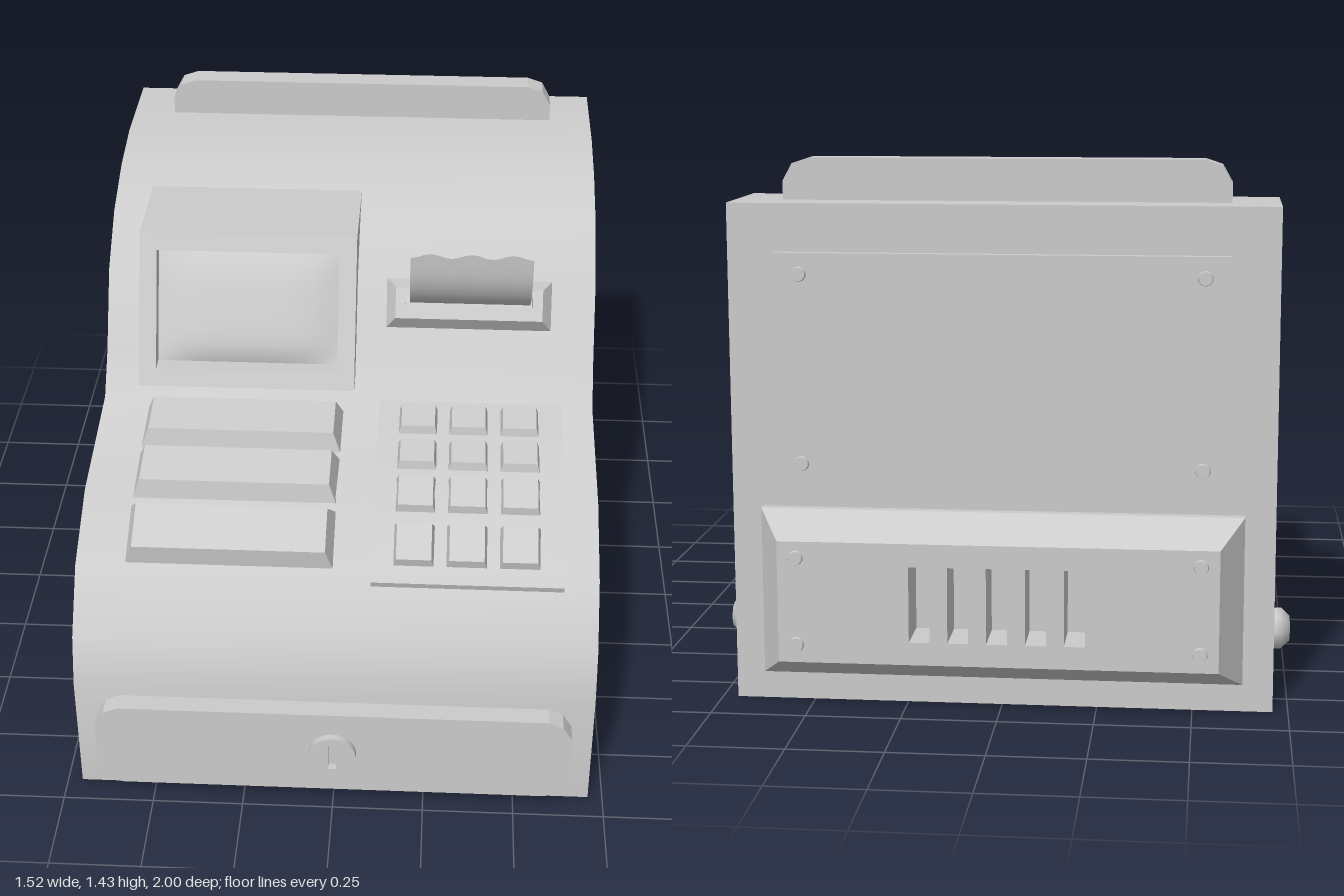
import * as THREE from 'three';
import { toCreasedNormals } from 'three/addons/utils/BufferGeometryUtils.js';

const grey = new THREE.MeshStandardMaterial({ color: 0xcccccc });
const sheet = new THREE.MeshStandardMaterial({ color: 0xcccccc, side: THREE.DoubleSide });

// Upper body outline as [z, y], front to back
const profile = [[0.925, 0], [0.925, 0.35], [0.888, 0.485], [0.77, 0.64], [0.56, 0.745], [0.17, 0.8],
  [0.08, 0.905], [-0.04, 1.11], [-0.19, 1.225], [-0.365, 1.29], [-0.545, 1.32], [-0.86, 1.32]];

function surfaceY(z) {
  const i = profile.findIndex((p, k) => k > 1 && p[0] <= z);
  const [z0, y0] = profile[i - 1], [z1, y1] = profile[i];
  return y0 + (y1 - y0) * (z - z0) / (z1 - z0);
}

function polygon(points) {
  return new THREE.Shape(points.map(([x, y]) => new THREE.Vector2(x, y)));
}

function rect(x0, y0, x1, y1) {
  return polygon([[x0, y0], [x1, y0], [x1, y1], [x0, y1]]);
}

function extrude(shape, depth) {
  return new THREE.ExtrudeGeometry(shape, { depth, bevelEnabled: false, curveSegments: 16 });
}

// Moves every vertex by a rule, then refreshes normals
function reshape(geometry, rule) {
  const p = geometry.attributes.position, v = new THREE.Vector3();
  for (let i = 0; i < p.count; i++) {
    rule(v.fromBufferAttribute(p, i));
    p.setXYZ(i, v.x, v.y, v.z);
  }
  geometry.computeVertexNormals();
  return geometry;
}

// Side outline in [z, y] swept across x
function sweepX(points, x0, x1) {
  const g = extrude(polygon(points), x1 - x0);
  return g.rotateY(-Math.PI / 2).translate(x1, 0, 0);
}

// Plate with holes whose outer edge narrows towards its face
function taperedPlate(w, h, depth, taper, holes) {
  const shape = rect(-w / 2, -h / 2, w / 2, h / 2);
  shape.holes.push(...holes);
  return reshape(extrude(shape, depth), v => {
    if (v.z > depth / 2 && Math.abs(v.x) > w / 2 - 0.001) {
      v.x -= Math.sign(v.x) * taper;
      v.y -= Math.sign(v.y) * taper;
    }
  });
}

export function createModel() {
  const model = new THREE.Group();
  model.name = 'cashRegister';
  const add = (name, geometry, parent = model, material = grey) => {
    const mesh = new THREE.Mesh(geometry, material);
    mesh.name = name;
    parent.add(mesh);
    return mesh;
  };

  // Body
  add('body', toCreasedNormals(sweepX([...profile, [-0.86, 0]], -0.71, 0.71), 0.9));

  // Top rail
  add('topRail', extrude(polygon([[-0.585, 1.31], [0.585, 1.31], [0.585, 1.37], [0.56, 1.415], [0.515, 1.43],
    [-0.515, 1.43], [-0.56, 1.415], [-0.585, 1.37]]), 0.072)).position.z = -0.75;

  // Drawer and lock
  add('drawer', extrude(polygon([[-0.585, 0.05], [0.585, 0.05], [0.625, 0.063], [0.65, 0.105], [0.65, 0.26],
    [0.625, 0.3], [0.585, 0.317], [-0.585, 0.317], [-0.625, 0.3], [-0.65, 0.26], [-0.65, 0.105],
    [-0.625, 0.063]]), 0.06)).position.z = 0.92;
  const lockShape = new THREE.Shape().absarc(0, 0, 0.065, 0, Math.PI * 2);
  lockShape.holes.push(rect(-0.011, -0.042, 0.011, 0.042));
  add('lock', toCreasedNormals(extrude(lockShape, 0.022), 0.6)).position.set(0, 0.185, 0.978);

  // Side knobs
  const knob = new THREE.LatheGeometry([[0.045, -0.01], [0.057, 0.008], [0.057, 0.022], [0.035, 0.045], [0, 0.048]]
    .map(([r, y]) => new THREE.Vector2(r, y)), 8);
  for (const side of [1, -1]) {
    const mesh = add(side > 0 ? 'leftKnob' : 'rightKnob', knob);
    mesh.position.set(side * 0.71, 0.178, -0.69);
    mesh.rotation.z = -side * Math.PI / 2;
  }

  // Display housing, leaning frame and bulged screen
  const display = new THREE.Group();
  display.name = 'display';
  model.add(display);
  add('displayHousing', sweepX([[0.135, 0.855], [-0.045, 1.26], [-0.285, 1.26], [-0.285, 1.1], [0.07, 0.855]],
    -0.605, 0.02), display);
  const lean = v => { v.z += 0.19 - (v.y - 0.855) * 0.4444; };
  const frame = rect(-0.605, 0.855, 0.02, 1.26);
  frame.holes.push(rect(-0.555, 0.9, -0.03, 1.215));
  add('displayFrame', reshape(extrude(frame, 0.055).translate(0, 0, -0.055), lean), display);
  const screen = new THREE.PlaneGeometry(0.525, 0.315, 14, 10);
  add('screen', reshape(screen, v => {
    const u = v.x / 0.2625, w = v.y / 0.1575;
    v.z = -0.05 + 0.035 * (1 - u ** 4) * (1 - w ** 4);
    v.x -= 0.2925;
    v.y += 1.0575;
    lean(v);
  }), display);

  // Bevelled keys that follow the slope of the body
  function addKey(name, x0, x1, z0, z1, h, bevel) {
    const y0 = surfaceY(z0), y1 = surfaceY(z1);
    const angle = Math.atan2(y0 - y1, z1 - z0);
    const g = new THREE.BoxGeometry(x1 - x0, h, Math.hypot(z1 - z0, y1 - y0));
    reshape(g, v => {
      if (v.y > 0) {
        v.x -= Math.sign(v.x) * bevel;
        v.z -= Math.sign(v.z) * bevel;
      }
    });
    const key = add(name, g);
    key.position.set((x0 + x1) / 2, (y0 + y1) / 2 + h / 2 / Math.cos(angle), (z0 + z1) / 2);
    key.rotation.x = angle;
  }
  for (const [z0, z1] of [[0.21, 0.385], [0.415, 0.585], [0.615, 0.77]])
    addKey('wideKey', -0.575, -0.01, z0, z1, 0.055, 0.02);
  for (const z of [0.225, 0.37, 0.512, 0.655])
    for (const x of [0.145, 0.288, 0.432])
      addKey('numberKey', x, x + 0.127, z, z + 0.122, 0.06, 0.016);

  // Keypad plate
  add('keypadPlate', toCreasedNormals(sweepX([[0.77, 0.6], [0.797, 0.62], [0.803, 0.638], [0.77, 0.675],
    [0.57, 0.778], [0.2, 0.833], [0.175, 0.79], [0.56, 0.72]], 0.095, 0.615), 0.5));

  // Receipt printer
  const printer = add('receiptSlot', taperedPlate(0.48, 0.145, 0.05, 0.028, [rect(-0.183, -0.005, 0.183, 0.025)]));
  printer.position.set(0.345, 1.042, -0.002);
  printer.rotation.x = -Math.PI / 6;

  // Curling paper with a torn edge
  const curl = new THREE.CatmullRomCurve3([[1.045, -0.005], [1.075, 0.05], [1.12, 0.1], [1.19, 0.135], [1.28, 0.147]]
    .map(([y, z]) => new THREE.Vector3(0, y, z)));
  const paper = new THREE.PlaneGeometry(0.345, 1, 18, 12);
  add('receiptPaper', reshape(paper, v => {
    const t = v.y + 0.5, p = curl.getPoint(t);
    v.y = p.y + 0.007 * t ** 4 * Math.cos(v.x / 0.345 * Math.PI * 6);
    v.z = p.z;
    v.x += 0.3475;
  }), model, sheet);

  // Back panel and vent box
  const back = new THREE.Group();
  back.name = 'back';
  back.rotation.y = Math.PI;
  back.position.z = -0.86;
  model.add(back);
  add('backPanel', new THREE.BoxGeometry(1.17, 0.595, 0.025), back).position.set(0, 0.8975, 0.0125);
  const slots = () => [-2, -1, 0, 1, 2].map(i => rect(i * 0.1 - 0.027, -0.1, i * 0.1 + 0.027, 0.1));
  add('ventRim', taperedPlate(1.26, 0.445, 0.025, 0, slots()), back).position.set(0, 0.3025, 0);
  add('ventBox', taperedPlate(1.26, 0.445, 0.107, 0.062, slots()), back).position.set(0, 0.3025, 0.025);

  // Screws
  const screw = new THREE.CylinderGeometry(0.018, 0.022, 0.016, 10).rotateX(Math.PI / 2);
  for (const [y, z] of [[1.14, 0.025], [0.645, 0.025], [0.42, 0.132], [0.19, 0.132]])
    for (const x of [-0.52, 0.52]) add('screw', screw, back).position.set(x, y, z);

  return model;
}
